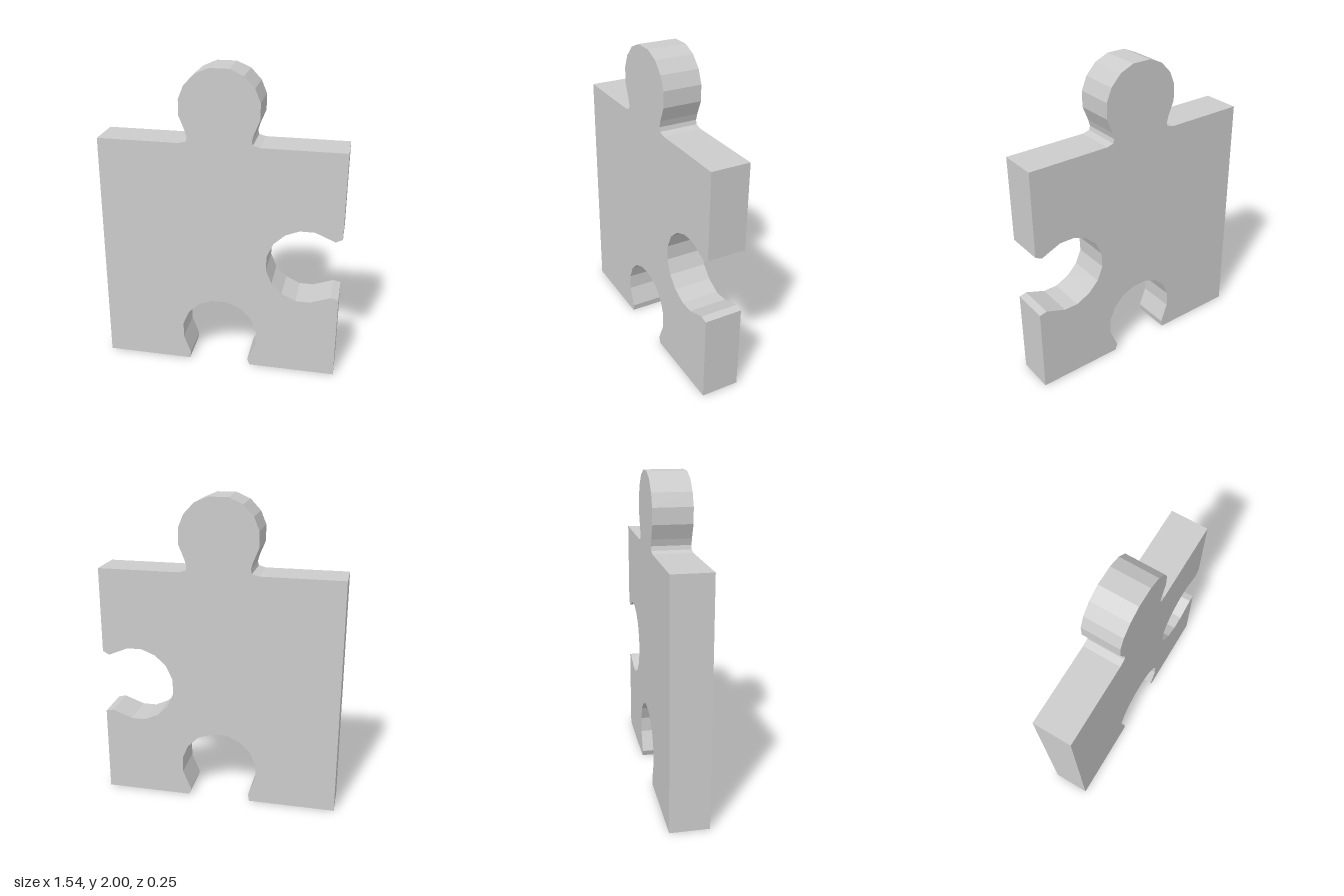
import * as THREE from 'three';

export function createModel() {
  const group = new THREE.Group();
  const halfWidth = 0.77, height = 1.54, depth = 0.245;

  // Half outline of the knob, from its neck to its crown
  const knob = [
    [0.25, 1.54], [0.205, 1.552], [0.198, 1.578], [0.21, 1.62], [0.247, 1.71],
    [0.247, 1.81], [0.213, 1.893], [0.148, 1.962], [0.06, 2],
  ];
  // Half outline of the bottom socket, from its crown to its mouth
  const bottomSocket = [
    [0.05, 0.466], [0.14, 0.43], [0.208, 0.362], [0.247, 0.27], [0.247, 0.17],
  ];
  // Side socket, from the upper lip to the lower lip
  const sideSocket = [
    [halfWidth, 0.99], [0.728, 0.968], [0.6, 1.022], [0.505, 1.022], [0.418, 0.987],
    [0.347, 0.922], [0.305, 0.83], [0.302, 0.732], [0.34, 0.641], [0.408, 0.572],
    [0.5, 0.529], [0.592, 0.529], [0.722, 0.577], [halfWidth, 0.566],
  ];
  const mirror = (points) => points.map(([x, y]) => [-x, y]).reverse();

  // Counter-clockwise outline starting at the lower left corner
  const outline = [
    [-halfWidth, 0], [-0.207, 0], [-0.2, 0.045],
    ...mirror(bottomSocket), ...bottomSocket,
    [0.192, 0.04], [0.207, 0], [halfWidth, 0],
    ...[...sideSocket].reverse(),
    [halfWidth, height],
    ...knob, ...mirror(knob),
    [-halfWidth, height],
  ].map(([x, y]) => new THREE.Vector2(x, y));

  // Flat plate with straight, faceted sides
  const geometry = new THREE.ExtrudeGeometry(new THREE.Shape(outline), {
    depth, bevelEnabled: false,
  });
  geometry.translate(0, 0, -depth / 2);

  const piece = new THREE.Mesh(
    geometry,
    new THREE.MeshStandardMaterial({ color: 0xcccccc, flatShading: true }),
  );
  piece.name = 'puzzlePiece';
  group.add(piece);
  return group;
}
